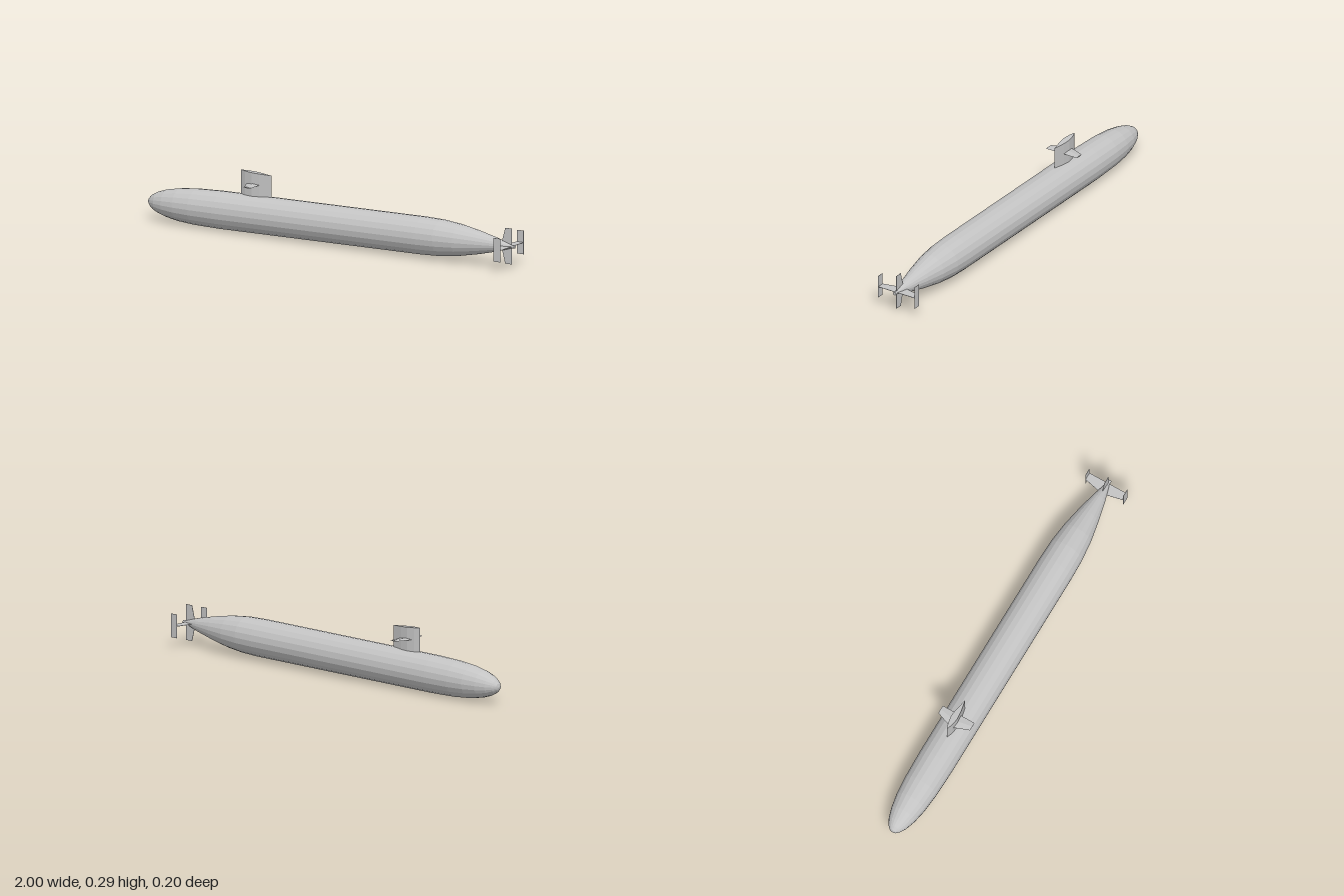
import * as THREE from 'three';

const grey = new THREE.MeshStandardMaterial({ color: 0xc4c4c4, flatShading: true });
grey.name = 'hull grey';

function part(name, geometry) {
  const mesh = new THREE.Mesh(geometry, grey);
  mesh.name = name;
  return mesh;
}

// Flat plate from an outline, centred on its thickness
function plate(points, thickness) {
  const shape = new THREE.Shape(points.map(([x, y]) => new THREE.Vector2(x, y)));
  return new THREE.ExtrudeGeometry(shape, { depth: thickness, bevelEnabled: false })
    .translate(0, 0, -thickness / 2);
}

export function createModel() {
  const model = new THREE.Group();
  model.name = 'submarine';

  // Hull: turned profile (position along x, radius), pitched slightly up to the stern
  const profile = [
    [-1, 0], [-0.995, 0.016], [-0.98, 0.031], [-0.95, 0.048], [-0.9, 0.064], [-0.83, 0.077],
    [-0.74, 0.085], [-0.6, 0.089], [0.5, 0.089], [0.6, 0.086], [0.7, 0.075],
    [0.8, 0.056], [0.9, 0.033], [0.97, 0.012], [0.98, 0.008], [1, 0.008], [1, 0],
  ].map(([x, r]) => new THREE.Vector2(r, x));
  const hull = new THREE.LatheGeometry(profile, 20)
    .rotateZ(-Math.PI / 2 + 0.0095).translate(0, 0.0955, 0);
  model.add(part('hull', hull));

  // Sail: pointed lens plan, top sloping down aft
  const half = [[-0.497, 0], [-0.47, 0.01], [-0.43, 0.0165], [-0.39, 0.0125], [-0.33, 0]];
  const outline = [...half.map(([x, z]) => [x, -z]),
    ...half.slice(1, -1).reverse()];
  const sail = plate(outline, 0.14).rotateX(-Math.PI / 2).translate(0, 0.22, 0);
  const pos = sail.attributes.position;
  for (let i = 0; i < pos.count; i++) {
    if (pos.getY(i) > 0.22) pos.setY(i, 0.294 - (pos.getX(i) + 0.497) * 0.062);
  }
  sail.computeVertexNormals();
  model.add(part('sail', sail));

  // Sail planes: diamond section, tapering to the tip
  for (const side of [1, -1]) {
    const plane = new THREE.CylinderGeometry(1, 1, 1, 4).rotateX(side * Math.PI / 2);
    const p = plane.attributes.position;
    for (let i = 0; i < p.count; i++) {
      const tip = p.getZ(i) * side > 0;
      const chord = tip ? 0.021 : 0.037;
      p.setXYZ(i,
        -0.389 - chord + p.getX(i) * chord,
        0.2335 + p.getY(i) * (tip ? 0.003 : 0.005),
        side * (tip ? 0.085 : 0));
    }
    plane.computeVertexNormals();
    model.add(part(side > 0 ? 'frontSailPlane' : 'backSailPlane', plane));
  }

  // Cross of four tail fins
  const tail = new THREE.Group();
  tail.name = 'tailFins';
  tail.position.y = 0.105;
  const names = ['upperRudder', 'frontSternPlane', 'lowerRudder', 'backSternPlane'];
  names.forEach((name, i) => {
    const span = i % 2 ? 0.102 : 0.085;
    const fin = part(name, plate([[0.925, 0], [0.985, 0], [0.985, span], [0.948, span]], 0.0015));
    fin.rotation.x = i * Math.PI / 2;
    tail.add(fin);
  });

  // Upright end plates on the stern planes
  for (const side of [1, -1]) {
    const end = part(side > 0 ? 'frontEndPlate' : 'backEndPlate',
      new THREE.BoxGeometry(0.037, 0.112, 0.0015));
    end.position.set(0.9665, 0, side * 0.1015);
    tail.add(end);
  }
  model.add(tail);
  return model;
}
